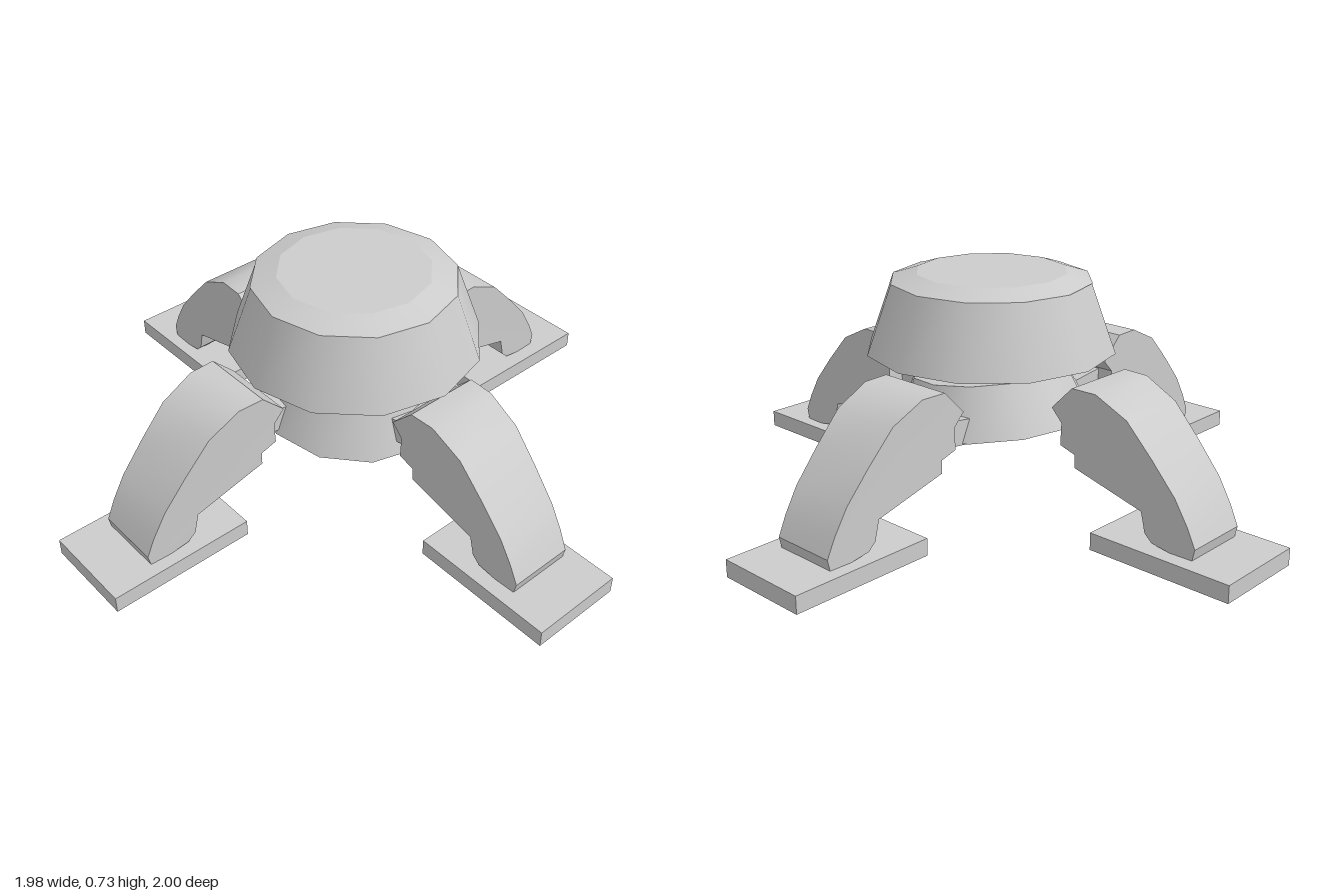
import * as THREE from 'three';
import { toCreasedNormals } from 'three/addons/utils/BufferGeometryUtils.js';

export function createModel() {
  const model = new THREE.Group();
  model.name = 'domedWalker';
  const grey = new THREE.MeshStandardMaterial({ color: 0xcccccc });
  grey.name = 'plain grey';

  const add = (parent, name, geometry, x, y, z) => {
    const mesh = new THREE.Mesh(geometry, grey);
    mesh.name = name;
    mesh.position.set(x, y, z);
    parent.add(mesh);
    return mesh;
  };

  // Domed head: flared skirt with a shallow crown
  add(model, 'headSkirt', new THREE.CylinderGeometry(0.32, 0.4, 0.222, 12), 0, 0.589, 0.028);
  add(model, 'headCrown', new THREE.CylinderGeometry(0.24, 0.32, 0.026, 12), 0, 0.713, 0.024);

  // Short neck, leaning in at the front
  const neck = new THREE.Shape([[-0.12, 0.37], [0.15, 0.37], [0.08, 0.485], [-0.16, 0.485]]
    .map(([z, y]) => new THREE.Vector2(-z, y)));
  const neckGeometry = new THREE.ExtrudeGeometry(neck, { depth: 0.23, bevelEnabled: false });
  neckGeometry.translate(0, 0, -0.115).rotateY(Math.PI / 2);
  add(model, 'neck', neckGeometry, 0, 0, 0);

  // Lower body, tipped forward
  const body = add(model, 'lowerBody', new THREE.CylinderGeometry(0.25, 0.318, 0.16, 12), 0, 0.325, 0.024);
  body.rotation.x = 0.11;

  // Arched leg outline, reaching outward along x
  const outline = [
    [0.33, 0.39], [0.405, 0.466], [0.49, 0.466], [0.6, 0.413], [0.69, 0.318], [0.77, 0.225],
    [0.815, 0.15], [0.843, 0.09], [0.835, 0.053], [0.79, 0.05], [0.7, 0.066], [0.675, 0.09],
    [0.66, 0.153], [0.42, 0.222], [0.42, 0.263], [0.365, 0.28], [0.368, 0.35],
  ];
  const legGeometry = (() => {
    const shape = new THREE.Shape(outline.map(([x, y]) => new THREE.Vector2(x, y)));
    const g = new THREE.ExtrudeGeometry(shape, { depth: 1, bevelEnabled: false });
    g.translate(0, 0, -0.5);
    // Narrow the leg slightly toward the foot
    const p = g.attributes.position;
    for (let i = 0; i < p.count; i++) {
      const width = 0.25 - 0.035 * Math.max(0, (p.getX(i) - 0.4) / 0.44);
      p.setZ(i, p.getZ(i) * width);
    }
    return toCreasedNormals(g, 0.5);
  })();
  const footGeometry = new THREE.BoxGeometry(0.478, 0.055, 0.312);
  const strutGeometry = new THREE.BoxGeometry(0.18, 0.08, 0.14);

  // Four legs: angle about y, sideways position, foot distance, strut to the body
  const legs = [
    ['left', 0, [0, 0, -0.05], 0.75, true],
    ['right', Math.PI, [0, 0, -0.05], 0.75, true],
    ['front', -Math.PI / 2, [0, 0, 0.008], 0.752, true],
    ['back', Math.PI / 2, [0, 0, -0.008], 0.753, false],
  ];
  for (const [side, angle, position, reach, hasStrut] of legs) {
    const leg = new THREE.Group();
    leg.name = side + 'LegAssembly';
    leg.position.set(...position);
    leg.rotation.y = angle;
    add(leg, side + 'Leg', legGeometry, 0, 0, 0);
    add(leg, side + 'Foot', footGeometry, reach, 0.0275, 0.004);
    if (hasStrut) add(leg, side + 'Strut', strutGeometry, 0.335, 0.303, 0).rotation.z = 0.12;
    model.add(leg);
  }
  return model;
}
